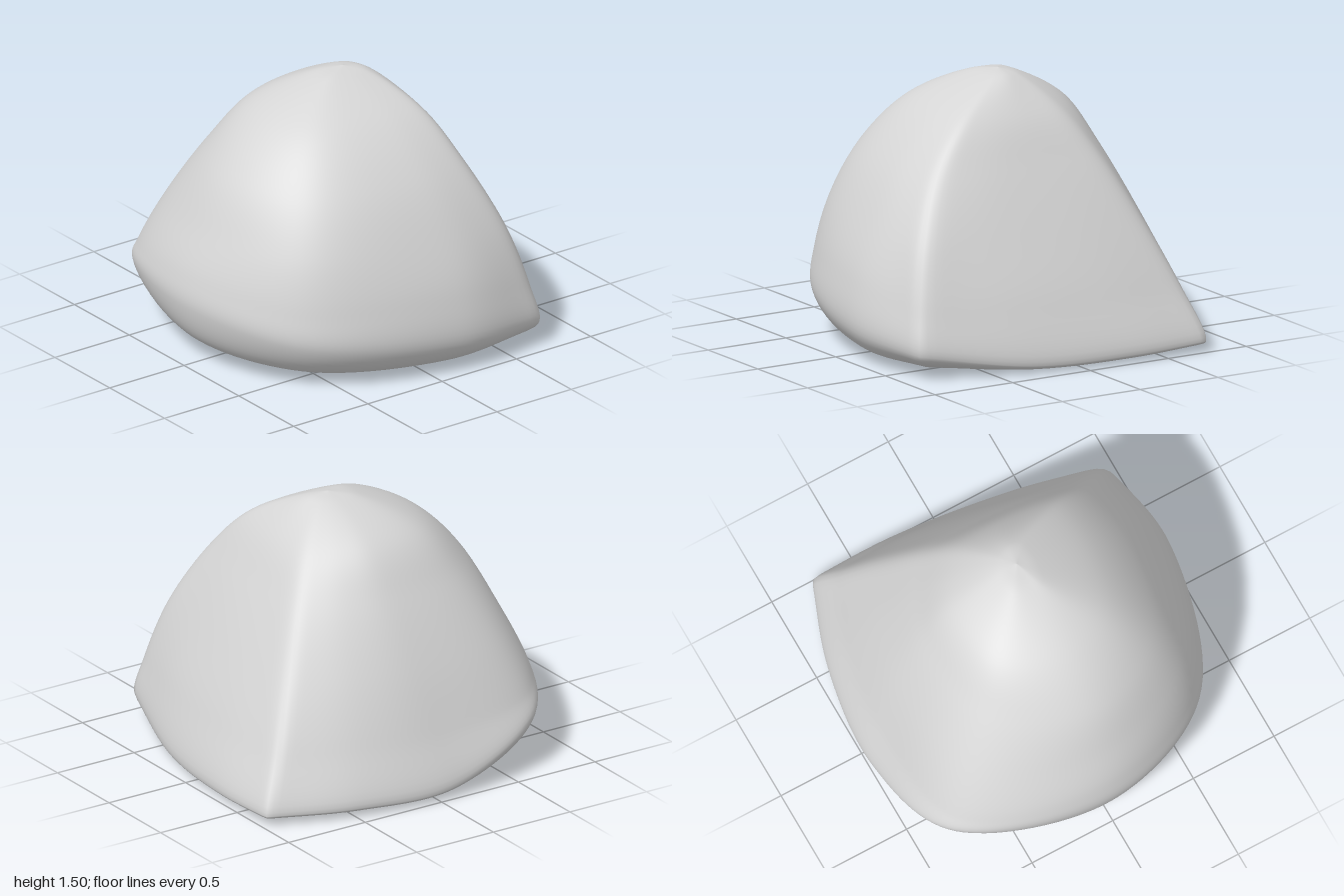
import * as THREE from 'three';

// Ten rails run up the body, in order: front ridge, flat side (two), sharp back ridge,
// back (two), soft back corner, bulging side, front bulge, front.

// Two points per rail: just under the rim, and on the rim
const rim = [
  [[0.67, 0.07, 0.86], [0.72, 0.14, 0.925]],
  [[0.855, 0.015, 0.29], [0.905, 0.045, 0.3]],
  [[0.93, 0.015, -0.28], [0.985, 0.045, -0.3]],
  [[0.95, 0.035, -0.73], [0.985, 0.06, -0.76]],
  [[0.46, 0.025, -0.88], [0.5, 0.055, -0.93]],
  [[-0.08, 0.03, -0.94], [-0.1, 0.07, -0.995]],
  [[-0.65, 0.13, -0.73], [-0.73, 0.3, -0.83]],
  [[-0.9, 0.12, 0], [-1, 0.35, 0]],
  [[-0.61, 0.08, 0.61], [-0.7, 0.26, 0.7]],
  [[0.13, 0.05, 0.88], [0.14, 0.18, 0.99]],
];

// Five points per rail: from above the rim to just below the crown
const sides = [
  [[0.685, 0.35, 0.905], [0.59, 0.7, 0.82], [0.445, 1.05, 0.64], [0.335, 1.3, 0.41], [0.17, 1.47, 0.1]],
  [[0.82, 0.35, 0.37], [0.675, 0.7, 0.37], [0.51, 1.05, 0.33], [0.37, 1.3, 0.23], [0.195, 1.47, 0.06]],
  [[0.88, 0.35, -0.2], [0.72, 0.7, -0.1], [0.535, 1.05, 0], [0.385, 1.3, 0.04], [0.2, 1.47, 0.01]],
  [[0.87, 0.35, -0.675], [0.715, 0.7, -0.53], [0.54, 1.05, -0.36], [0.375, 1.3, -0.21], [0.17, 1.47, -0.07]],
  [[0.42, 0.35, -0.84], [0.36, 0.7, -0.695], [0.3, 1.05, -0.51], [0.22, 1.3, -0.345], [0.12, 1.47, -0.105]],
  [[-0.06, 0.35, -0.9], [-0.01, 0.7, -0.765], [0.03, 1.05, -0.59], [0.05, 1.3, -0.42], [0.06, 1.47, -0.12]],
  [[-0.72, 0.42, -0.79], [-0.635, 0.7, -0.675], [-0.48, 1.05, -0.5], [-0.325, 1.3, -0.345], [-0.07, 1.47, -0.1]],
  [[-0.98, 0.52, 0], [-0.89, 0.75, 0.02], [-0.74, 1.05, 0.03], [-0.485, 1.3, 0.03], [-0.1, 1.47, 0.01]],
  [[-0.695, 0.45, 0.69], [-0.635, 0.75, 0.635], [-0.525, 1.05, 0.515], [-0.36, 1.3, 0.33], [-0.09, 1.47, 0.08]],
  [[0.14, 0.45, 0.965], [0.12, 0.75, 0.85], [0.08, 1.05, 0.675], [0.05, 1.3, 0.43], [0.05, 1.47, 0.11]],
];

const ROWS = 72, FLAT = 33, ROUND = 98, RING = FLAT + ROUND;
const BACK_RIDGE = 3;

// Spline from the centre of the base, round the rim and up to the crown
function railCurve(rimPoints, i) {
  const p = [...rimPoints, ...sides[i]].map((q) => new THREE.Vector3(...q));
  const inner = new THREE.Vector3(0.1 + (p[0].x - 0.1) * 0.65, p[0].y * 0.15, p[0].z * 0.65);
  return new THREE.CatmullRomCurve3([
    new THREE.Vector3(0.1, 0, 0), inner, ...p, new THREE.Vector3(0.07, 1.5, 0),
  ]);
}

// Closed cross-section: a flat side and a round sweep, meeting at two ridges
// that are crisp at the base and softer towards the crown
function crossSection(curves, t) {
  const k = curves.map((c) => c.getPoint(t));
  const flat = new THREE.CatmullRomCurve3(k.slice(0, BACK_RIDGE + 1));
  const round = new THREE.CatmullRomCurve3([...k.slice(BACK_RIDGE), k[0]]);
  let ring = [];
  for (let i = 0; i < FLAT; i++) ring.push(flat.getPoint(i / FLAT));
  for (let i = 0; i < ROUND; i++) ring.push(round.getPoint(i / ROUND));
  const soft = THREE.MathUtils.lerp(0.02, 0.5, THREE.MathUtils.smoothstep(t, 0.3, 0.85));
  for (let pass = 0; pass < 14; pass++) {
    ring = ring.map((p, i) => p.clone().multiplyScalar(1 - soft)
      .addScaledVector(ring[(i + 1) % RING], soft / 2)
      .addScaledVector(ring[(i + RING - 1) % RING], soft / 2));
  }
  return ring;
}

export function createModel() {
  const curves = rim.map(railCurve);
  const positions = [], index = [];
  for (let r = 0; r <= ROWS; r++) {
    for (const p of crossSection(curves, r / ROWS)) positions.push(p.x, Math.max(0, p.y), p.z);
  }
  for (let r = 0; r < ROWS; r++) {
    for (let i = 0; i < RING; i++) {
      const a = r * RING + i, b = r * RING + (i + 1) % RING;
      // The first and last rows close on a single point
      if (r > 0) index.push(a, b, a + RING);
      if (r < ROWS - 1) index.push(b, b + RING, a + RING);
    }
  }

  const geometry = new THREE.BufferGeometry();
  geometry.setAttribute('position', new THREE.Float32BufferAttribute(positions, 3));
  geometry.setIndex(index);
  geometry.computeVertexNormals();

  const stone = new THREE.MeshStandardMaterial({ color: 0xd6d6d6 });
  stone.name = 'pale grey';
  const body = new THREE.Mesh(geometry, stone);
  body.name = 'roundedBody';
  const model = new THREE.Group();
  model.name = 'roundedTetrahedron';
  model.add(body);
  return model;
}
